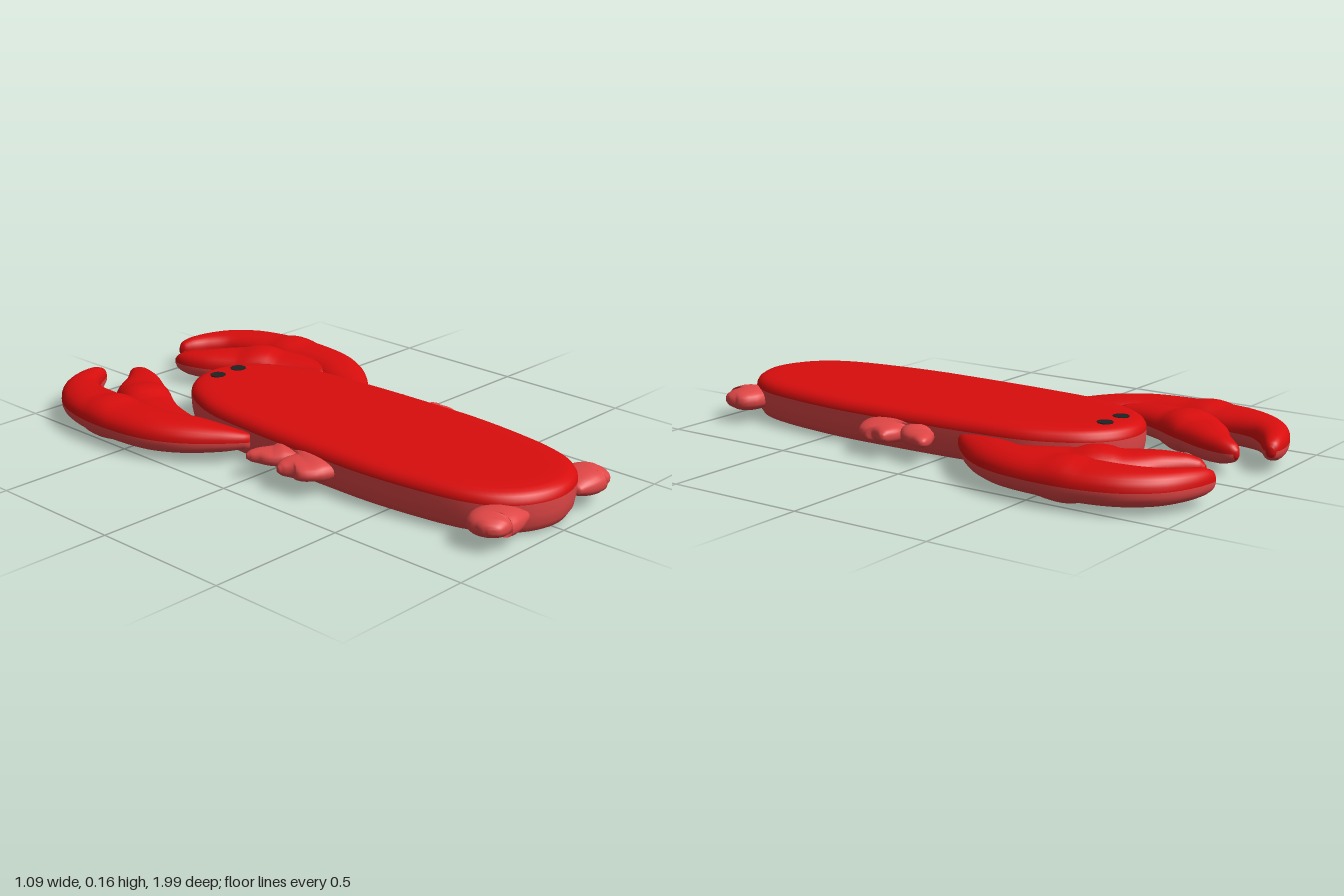
import * as THREE from 'three';

const shellRed = new THREE.MeshStandardMaterial({ color: 0xd90d0d });
shellRed.name = 'shell red';
const bellyRed = new THREE.MeshStandardMaterial({ color: 0xe04646 });
bellyRed.name = 'belly red';
const eyeBlack = new THREE.MeshStandardMaterial({ color: 0x222222 });
eyeBlack.name = 'eye black';

// Skins a list of rings and closes both ends; isShell(i, j) picks the colour of a facet
function loft(name, rings, isShell) {
  const n = rings[0].length;
  const pos = [];
  const faces = [[], []];
  rings.forEach((ring) => ring.forEach((p) => pos.push(p.x, p.y, p.z)));
  const pick = (i, j) => faces[isShell(i, j) ? 0 : 1];
  for (let i = 0; i < rings.length - 1; i++) {
    for (let j = 0; j < n; j++) {
      const k = (j + 1) % n;
      const a = i * n + j, b = i * n + k, c = a + n, d = b + n;
      pick(i, j).push(a, b, c, b, d, c);
    }
  }
  [0, rings.length - 1].forEach((i) => {
    const centre = new THREE.Vector3();
    rings[i].forEach((p) => centre.addScaledVector(p, 1 / n));
    const m = pos.length / 3;
    pos.push(centre.x, centre.y, centre.z);
    for (let j = 0; j < n; j++) {
      const a = i * n + j, b = i * n + (j + 1) % n;
      pick(i, j).push(...(i === 0 ? [b, a, m] : [a, b, m]));
    }
  });
  const geo = new THREE.BufferGeometry();
  geo.setAttribute('position', new THREE.Float32BufferAttribute(pos, 3));
  geo.setIndex([...faces[0], ...faces[1]]);
  geo.addGroup(0, faces[0].length, 0);
  geo.addGroup(faces[0].length, faces[1].length, 1);
  geo.computeVertexNormals();
  const mesh = new THREE.Mesh(geo, [shellRed, bellyRed]);
  mesh.name = name;
  return mesh;
}

// Sweeps a soft oval along a level path; sections are [x, z, half width, half height]
function limb(name, sections, side, midY, isShell) {
  const path = new THREE.CatmullRomCurve3(sections.map(([x, z, w]) => new THREE.Vector3(x * side, w, z)));
  const heights = new THREE.CatmullRomCurve3(sections.map((s) => new THREE.Vector3(s[3], 0, 0)));
  const soft = (v) => Math.sign(v) * Math.abs(v) ** 0.85;
  const steps = (sections.length - 1) * 5;
  const rings = [];
  for (let i = 0; i <= steps; i++) {
    const t = i / steps;
    const p = path.getPoint(t);
    const h = heights.getPoint(t).x;
    const dir = path.getTangent(t).setY(0).normalize();
    const ring = [];
    for (let j = 0; j < 28; j++) {
      const a = (j / 28) * Math.PI * 2;
      const u = soft(Math.cos(a)) * p.y;
      ring.push(new THREE.Vector3(p.x + dir.z * u, midY + soft(Math.sin(a)) * h, p.z - dir.x * u));
    }
    rings.push(ring);
  }
  return loft(name, rings, (i, j) => isShell(i / steps, j));
}

// Long flat body: one outline, scaled in and out up its height
function body() {
  const half = [[0.297, 0.3], [0.294, 0.1], [0.285, -0.1], [0.266, -0.3], [0.235, -0.4],
    [0.175, -0.51], [0.095, -0.575], [0, -0.597]];
  const back = [[0.11, 0.963], [0.19, 0.9], [0.242, 0.8], [0.28, 0.6], [0.296, 0.42]];
  const mirrored = (list) => list.map(([x, z]) => [-x, z]).reverse();
  const outline = [...half, ...mirrored(half.slice(0, -1)), ...mirrored(back), [0, 0.99], ...back];
  const curve = new THREE.CatmullRomCurve3(outline.map(([x, z]) => new THREE.Vector3(x, 0, z)), true);
  const points = curve.getPoints(120).slice(0, -1);
  const midZ = 0.196;
  // [inset, height]
  const levels = [[0.07, 0], [0.045, 0.002], [0.022, 0.012], [0.008, 0.035], [0.002, 0.07], [0, 0.112],
    [0.002, 0.125], [0.01, 0.138], [0.024, 0.147], [0.045, 0.152], [0.09, 0.155]];
  const rings = levels.map(([d, y]) => points.map((p) => new THREE.Vector3(
    p.x * (1 - d / 0.297), y, midZ + (p.z - midZ) * (1 - d / 0.794))));
  return loft('body', rings, (i) => i >= 5);
}

const FINGER = [[0.28, -0.1, 0.02, 0.025], [0.325, -0.175, 0.05, 0.042], [0.38, -0.285, 0.085, 0.056],
  [0.43, -0.4, 0.093, 0.061], [0.445, -0.55, 0.1, 0.062], [0.44, -0.68, 0.1, 0.062],
  [0.422, -0.79, 0.088, 0.06], [0.375, -0.88, 0.069, 0.056], [0.3, -0.938, 0.05, 0.05],
  [0.235, -0.966, 0.035, 0.042], [0.204, -0.976, 0.023, 0.03], [0.192, -0.98, 0.008, 0.012]];
const THUMB = [[0.37, -0.34, 0.07, 0.045], [0.35, -0.45, 0.075, 0.052], [0.32, -0.56, 0.09, 0.057],
  [0.25, -0.69, 0.095, 0.057], [0.17, -0.78, 0.066, 0.053], [0.127, -0.85, 0.042, 0.044],
  [0.112, -0.89, 0.024, 0.03], [0.107, -0.907, 0.008, 0.012]];
const FRONT_LOBE = [[0.26, 0.1, 0.07, 0.028], [0.32, 0.055, 0.055, 0.028], [0.352, 0.018, 0.036, 0.024],
  [0.375, 0.0, 0.022, 0.018], [0.388, -0.008, 0.008, 0.008]];
const REAR_LOBE = [[0.26, 0.2, 0.11, 0.033], [0.32, 0.19, 0.1, 0.033], [0.355, 0.165, 0.055, 0.03],
  [0.385, 0.154, 0.024, 0.022], [0.4, 0.15, 0.008, 0.009]];
const TAIL_FIN = [[0.12, 0.93, 0.035, 0.015], [0.16, 0.92, 0.06, 0.033], [0.21, 0.912, 0.076, 0.042],
  [0.245, 0.908, 0.08, 0.04], [0.275, 0.933, 0.054, 0.032], [0.293, 0.948, 0.032, 0.02], [0.3, 0.953, 0.012, 0.008]];

export function createModel() {
  const model = new THREE.Group();
  model.name = 'lobster';
  model.add(body());

  const clawShell = (t, j) => j < 14 || t > 0.93;
  const noShell = () => false;
  for (const side of [1, -1]) {
    const label = side > 0 ? 'left' : 'right';

    // Pincer: outer finger and thumb
    const claw = new THREE.Group();
    claw.name = label + 'Claw';
    claw.add(limb('finger', FINGER, side, 0.077, clawShell), limb('thumb', THUMB, side, 0.075, clawShell));

    // Two-lobed leg halfway along the body
    const leg = new THREE.Group();
    leg.name = label + 'Leg';
    leg.add(limb('frontLobe', FRONT_LOBE, side, 0.078, noShell), limb('rearLobe', REAR_LOBE, side, 0.078, noShell));

    // Tail fin and eye
    const fin = limb(label + 'TailFin', TAIL_FIN, side, 0.077, noShell);
    const eye = new THREE.Mesh(new THREE.CylinderGeometry(0.028, 0.028, 0.006, 10), eyeBlack);
    eye.name = label + 'Eye';
    eye.position.set(0.05 * side, 0.154, -0.503);
    model.add(claw, leg, fin, eye);
  }
  return model;
}
